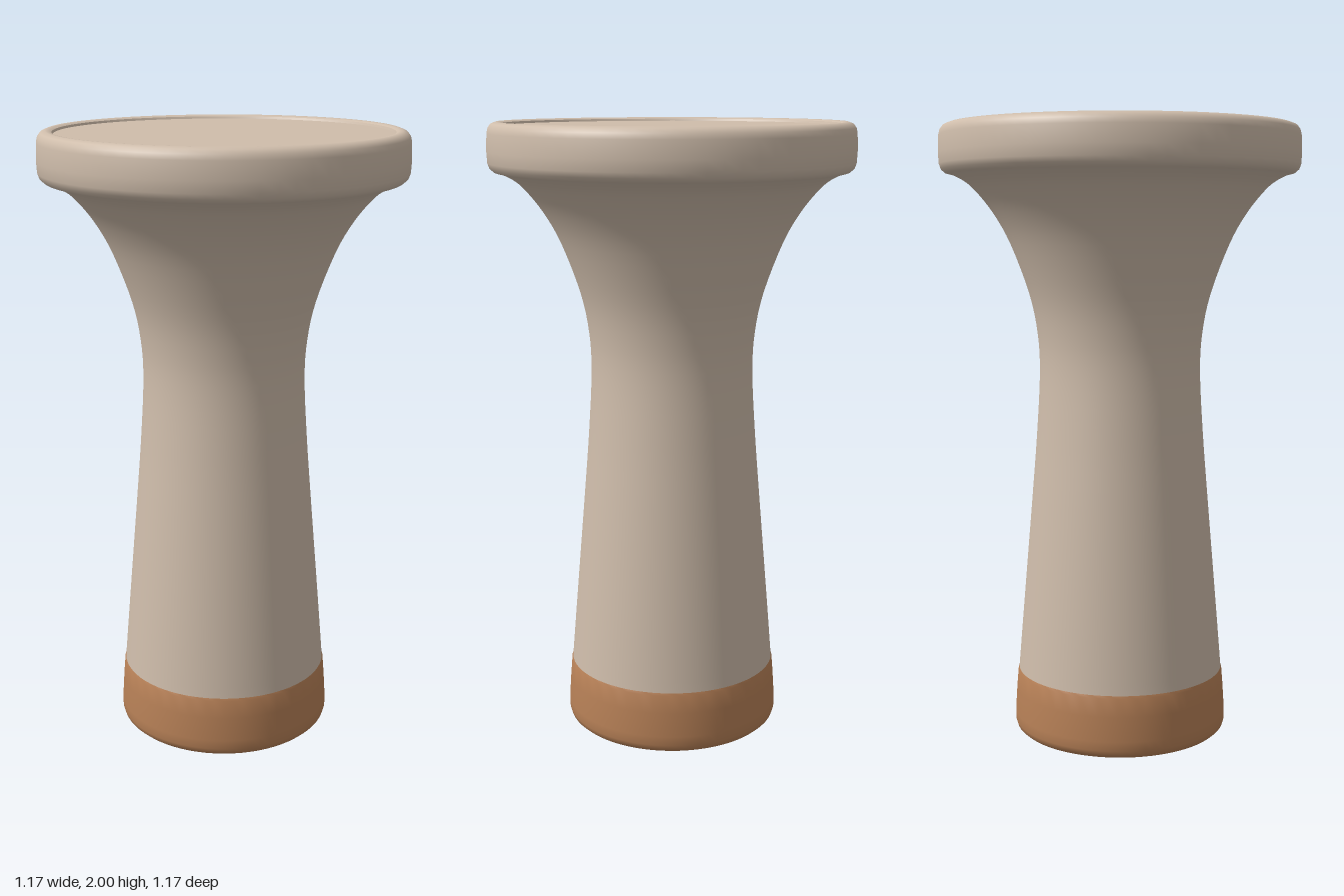
import * as THREE from 'three';
import { toCreasedNormals } from 'three/addons/utils/BufferGeometryUtils.js';

const clay = new THREE.MeshStandardMaterial({ color: 0xcfbdab });
clay.name = 'pale clay';
const wood = new THREE.MeshStandardMaterial({ color: 0xb88157 });
wood.name = 'warm wood';

// Turned part from [radius, height] pairs, listed bottom to top along the outside
function turned(name, profile, material) {
  const points = profile.map(([r, y]) => new THREE.Vector2(r, y));
  const geometry = toCreasedNormals(new THREE.LatheGeometry(points, 72), 0.6);
  const mesh = new THREE.Mesh(geometry, material);
  mesh.name = name;
  return mesh;
}

export function createModel() {
  const model = new THREE.Group();
  model.name = 'pedestal';

  // Foot with softly rounded lower edge
  model.add(turned('foot', [
    [0, 0], [0.325, 0], [0.338, 0.004], [0.349, 0.014], [0.354, 0.03],
    [0.354, 0.06], [0.349, 0.14], [0.344, 0.2], [0.341, 0.208], [0, 0.208],
  ], wood));

  // Tapered column flaring out under the head
  const column = new THREE.SplineCurve([
    [0.341, 0.208], [0.325, 0.4], [0.308, 0.6], [0.291, 0.8], [0.275, 1.0],
    [0.264, 1.2], [0.27, 1.33], [0.296, 1.46], [0.355, 1.62], [0.41, 1.72],
    [0.47, 1.795], [0.51, 1.827], [0.55, 1.846],
  ].map(([r, y]) => new THREE.Vector2(r, y)));
  model.add(turned('column', column.getPoints(48).map((p) => [p.x, p.y]), clay));

  // Round head with soft edges and a shallow rim around the top
  model.add(turned('head', [
    [0, 1.843], [0.545, 1.843], [0.562, 1.847], [0.575, 1.858], [0.581, 1.875],
    [0.583, 1.91], [0.581, 1.965], [0.577, 1.982], [0.568, 1.994], [0.553, 2],
    [0.54, 1.999], [0.532, 1.995], [0.529, 1.988], [0, 1.988],
  ], clay));

  return model;
}
